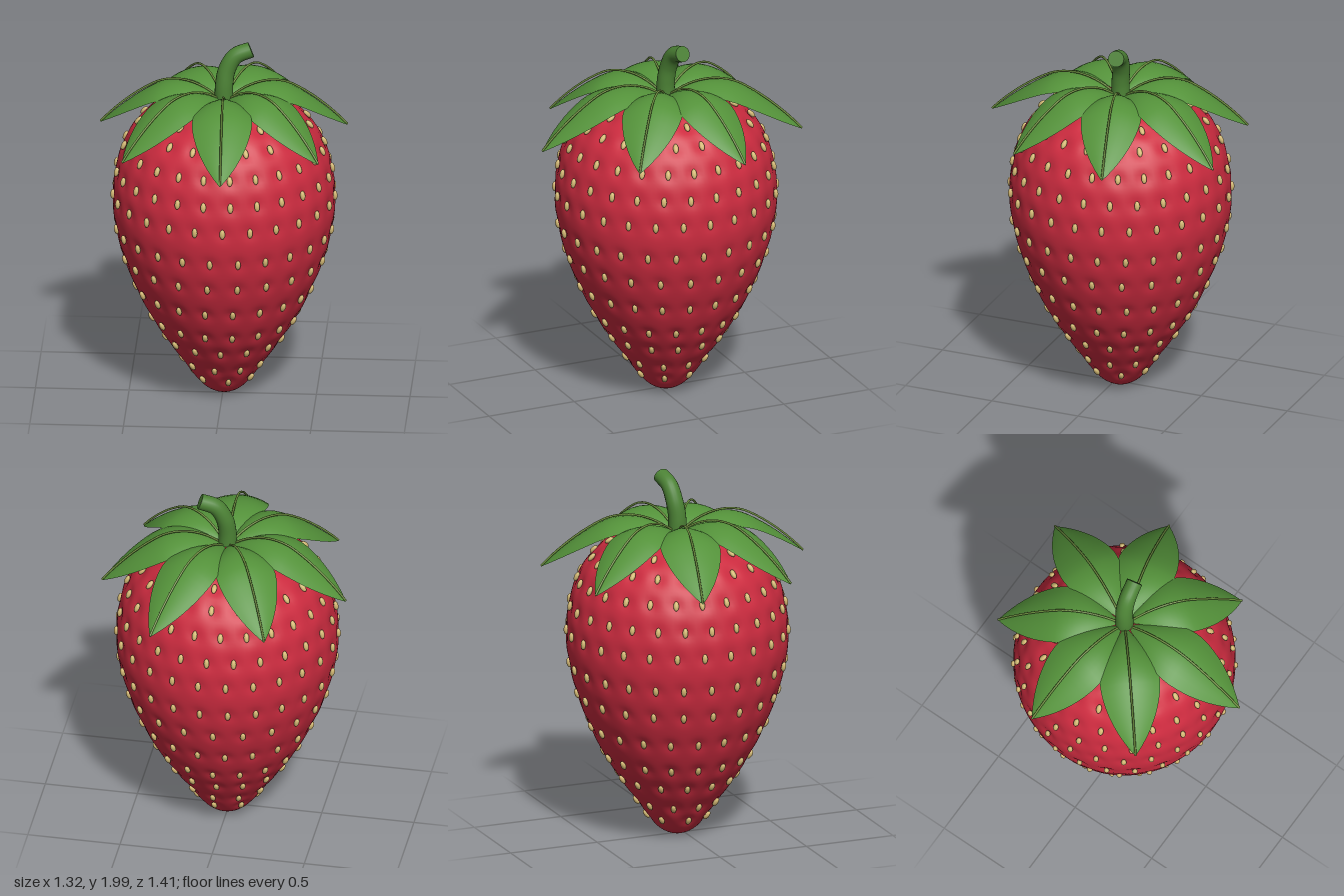
import * as THREE from 'three';
import { mergeGeometries, mergeVertices } from 'three/addons/utils/BufferGeometryUtils.js';

const mat = (name, color, extra = {}) => {
  const m = new THREE.MeshStandardMaterial({ color, ...extra });
  m.name = name;
  return m;
};
const mesh = (name, geo, material) => {
  const m = new THREE.Mesh(geo, material);
  m.name = name;
  return m;
};

// Fruit outline: radius, height
const profile = new THREE.SplineCurve([
  [0, 0.004], [0.05, 0.012], [0.105, 0.045], [0.16, 0.105], [0.225, 0.2], [0.305, 0.315], [0.395, 0.46],
  [0.472, 0.62], [0.54, 0.8], [0.582, 0.98], [0.594, 1.13], [0.58, 1.28], [0.54, 1.42], [0.475, 1.53],
  [0.385, 1.615], [0.28, 1.665], [0.15, 1.69], [0, 1.695],
].map(p => new THREE.Vector2(...p))).getSpacedPoints(110);

// Seed rows: height, count, angle of one seed from the front
const seedRows = [
  [0.1, 7, 0.2], [0.19, 10, -0.17], [0.32, 14, 0], [0.455, 17, 0.17], [0.62, 20, -0.156], [0.785, 21, -0.108],
  [0.96, 24, -0.073], [1.13, 25, 0.044], [1.285, 25, 0.118], [1.42, 24, 0.116], [1.535, 20, 0], [1.62, 15, 0.2],
];

// Position and surface frame of every seed
function seedFrames() {
  const frames = [];
  for (const [y, count, phase] of seedRows) {
    const i = profile.findIndex(p => p.y >= y);
    const t = profile[i + 1].clone().sub(profile[i - 1]).normalize();
    for (let k = 0; k < count; k++) {
      const a = phase + (k / count) * Math.PI * 2, s = Math.sin(a), c = Math.cos(a);
      frames.push({
        pos: new THREE.Vector3(profile[i].x * s, profile[i].y, profile[i].x * c),
        side: new THREE.Vector3(c, 0, -s),
        up: new THREE.Vector3(t.x * s, t.y, t.x * c),
        normal: new THREE.Vector3(t.y * s, -t.x, t.y * c),
      });
    }
  }
  return frames;
}

// Lathed body with a soft dimple under each seed
function fruitGeometry(frames) {
  let geo = new THREE.LatheGeometry(profile, 144);
  geo.deleteAttribute('uv');
  geo.deleteAttribute('normal');
  geo = mergeVertices(geo);
  const pos = geo.attributes.position, v = new THREE.Vector3();
  for (let i = 0; i < pos.count; i++) {
    v.fromBufferAttribute(pos, i);
    const push = new THREE.Vector3();
    for (const f of frames) {
      const d2 = v.distanceToSquared(f.pos);
      if (d2 < 0.012) push.addScaledVector(f.normal, -0.012 * Math.exp(-d2 / 0.0016));
    }
    v.add(push);
    pos.setXYZ(i, v.x, v.y, v.z);
  }
  geo.computeVertexNormals();
  return geo;
}

function seedGeometry(frames) {
  const one = new THREE.SphereGeometry(1, 12, 8).scale(0.015, 0.027, 0.013);
  return mergeGeometries(frames.map(f => one.clone().applyMatrix4(
    new THREE.Matrix4().makeBasis(f.side, f.up, f.normal).setPosition(f.pos))));
}

// Sepal spine: half width, height, distance from the stem
const spine = new THREE.CatmullRomCurve3([
  [0.02, 1.7, 0.05], [0.055, 1.73, 0.11], [0.112, 1.755, 0.2], [0.15, 1.757, 0.29], [0.16, 1.735, 0.38],
  [0.135, 1.665, 0.5], [0.09, 1.59, 0.6], [0.04, 1.525, 0.675], [0.002, 1.482, 0.72],
].map(p => new THREE.Vector3(...p)));

function sepalGeometry(stretch) {
  const rows = 24, cols = 10, verts = [], index = [];
  for (let i = 0; i <= rows; i++) {
    const p = spine.getPoint(i / rows);
    for (let j = 0; j <= cols; j++) {
      const u = (j / cols) * 2 - 1;
      verts.push(p.x * u, p.y - 0.3 * p.x * u * u, p.z * stretch);
      if (i < rows && j < cols) {
        const a = i * (cols + 1) + j, b = a + cols + 1;
        index.push(a, b, a + 1, b, b + 1, a + 1);
      }
    }
  }
  const geo = new THREE.BufferGeometry();
  geo.setAttribute('position', new THREE.Float32BufferAttribute(verts, 3));
  geo.setIndex(index);
  geo.computeVertexNormals();
  return geo;
}

// Raised midrib arching just above the sepal
function veinGeometry(stretch) {
  const pts = [];
  for (let i = 0; i <= 12; i++) {
    const p = spine.getPoint(i / 12);
    pts.push(new THREE.Vector3(0, p.y + 0.004 + 0.014 * Math.sin(Math.PI * i / 12), p.z * stretch));
  }
  return new THREE.TubeGeometry(new THREE.CatmullRomCurve3(pts), 32, 0.006, 6);
}

// Curved stem, tapering a little, with a cut end
function stemParts(material) {
  const curve = new THREE.CatmullRomCurve3([
    [0, 1.66, 0], [0, 1.76, 0], [0.015, 1.85, -0.01], [0.06, 1.925, -0.02], [0.142, 1.958, -0.034],
  ].map(p => new THREE.Vector3(...p)));
  const n = 32, tube = new THREE.TubeGeometry(curve, n, 0.048, 20), pos = tube.attributes.position;
  const v = new THREE.Vector3();
  for (let i = 0; i < pos.count; i++) {
    const t = Math.floor(i / 21) / n, c = curve.getPointAt(t);
    v.fromBufferAttribute(pos, i).sub(c).multiplyScalar(1.05 - 0.15 * t).add(c);
    pos.setXYZ(i, v.x, v.y, v.z);
  }
  const cap = mesh('stemCutEnd', new THREE.CircleGeometry(0.0432, 20), material);
  cap.position.copy(curve.getPointAt(1));
  cap.quaternion.setFromUnitVectors(new THREE.Vector3(0, 0, 1), curve.getTangentAt(1));
  return [mesh('stem', tube, material), cap];
}

export function createModel() {
  const red = mat('fruit red', 0xcc2b3f);
  const tan = mat('seed tan', 0xd2b873);
  const leaf = mat('leaf green', 0x54923a, { side: THREE.DoubleSide });
  const rib = mat('vein green', 0x6f8f40);
  const stalk = mat('stem green', 0x4c8235);

  const model = new THREE.Group();
  model.name = 'strawberry';
  const frames = seedFrames();
  model.add(mesh('fruit', fruitGeometry(frames), red), mesh('seeds', seedGeometry(frames), tan));

  // Seven sepals around the stem
  const lengths = [0.735, 0.657, 0.67, 0.725, 0.68, 0.68, 0.68];
  lengths.forEach((len, k) => {
    const sepal = new THREE.Group();
    sepal.name = 'sepal' + (k + 1);
    sepal.add(mesh('leafBlade', sepalGeometry(len / 0.72), leaf), mesh('leafVein', veinGeometry(len / 0.72), rib));
    sepal.rotation.y = 0.03 + (k / 7) * Math.PI * 2;
    model.add(sepal);
  });
  model.add(...stemParts(stalk));

  for (const part of model.children) part.position.add(new THREE.Vector3(0.005, 0, -0.035));
  return model;
}
